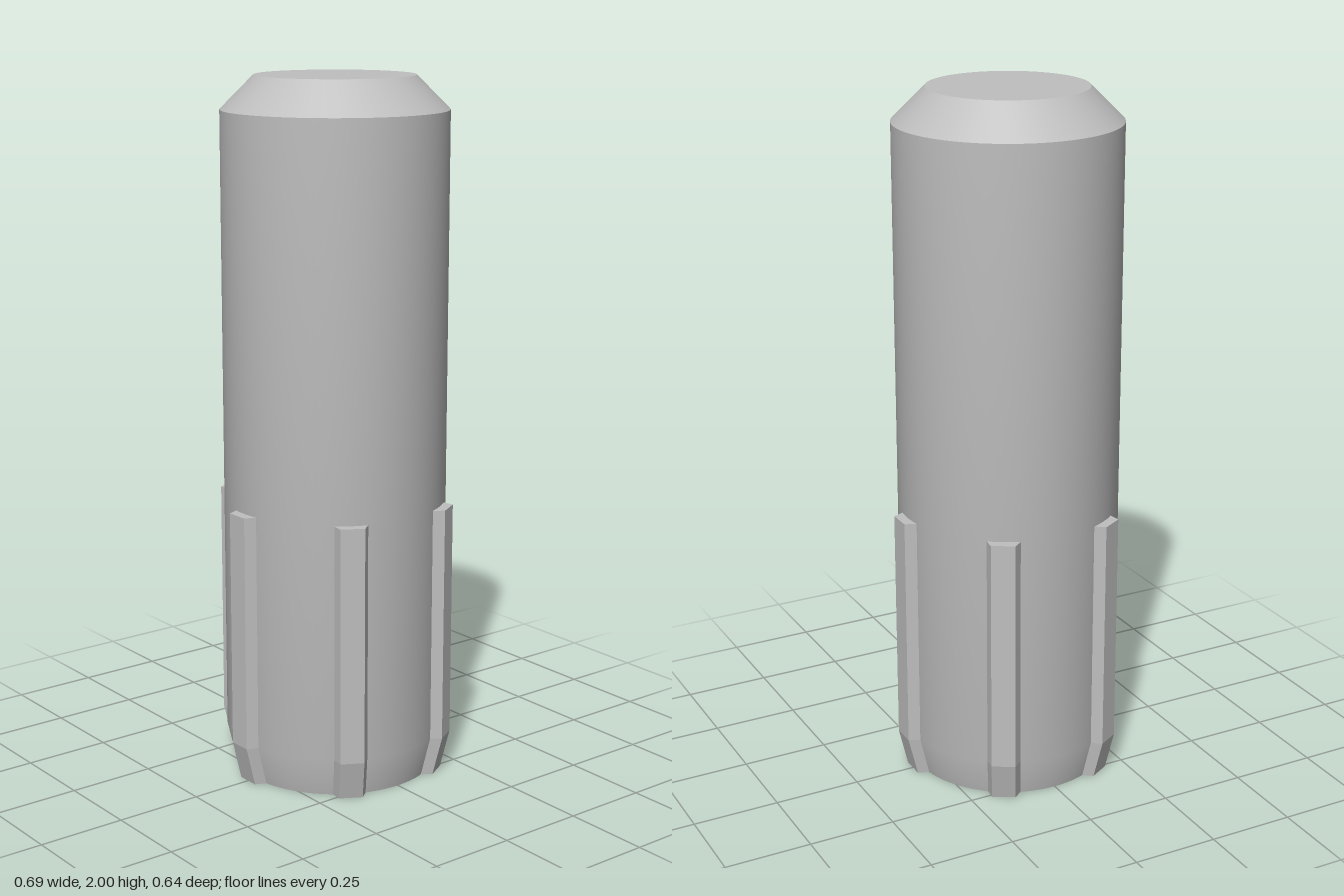
import * as THREE from 'three';
import { toCreasedNormals } from 'three/addons/utils/BufferGeometryUtils.js';

// Trapezoid rib along +x, its lower end leaning inwards
function ribGeometry() {
  const height = 0.8, taperTop = 0.115, lean = 0.028;
  const section = [[0.26, 0.07], [0.347, 0.034], [0.347, -0.034], [0.26, -0.07]];
  const levels = [[0, -lean], [taperTop, 0], [height, 0]];
  const positions = [];
  for (const [y, shift] of levels)
    for (const [x, z] of section) positions.push(x + shift, y, z);

  const index = [];
  for (let l = 0; l < 2; l++) {
    for (let i = 0; i < 4; i++) {
      const a = l * 4 + i, b = l * 4 + (i + 1) % 4;
      index.push(a, b, b + 4, a, b + 4, a + 4);
    }
  }
  index.push(0, 2, 1, 0, 3, 2); // bottom cap
  index.push(8, 9, 10, 8, 10, 11); // top cap

  const geometry = new THREE.BufferGeometry();
  geometry.setAttribute('position', new THREE.Float32BufferAttribute(positions, 3));
  geometry.setIndex(index);
  const flat = geometry.toNonIndexed();
  flat.computeVertexNormals();
  return flat;
}

export function createModel() {
  const group = new THREE.Group();
  const metal = new THREE.MeshStandardMaterial({ color: 0xbfbfbf });
  metal.name = 'grey metal';

  // Round pin with a chamfered top and slightly tapered foot
  const profile = [[0, 0], [0.292, 0], [0.319, 0.115], [0.319, 1.906], [0.225, 2], [0, 2]]
    .map(([r, y]) => new THREE.Vector2(r, y));
  const body = new THREE.Mesh(toCreasedNormals(new THREE.LatheGeometry(profile, 96), 0.3), metal);
  body.name = 'pinBody';
  group.add(body);

  // Six ribs around the lower end
  const ribs = new THREE.Group();
  ribs.name = 'ribs';
  const geometry = ribGeometry();
  for (let i = 0; i < 6; i++) {
    const rib = new THREE.Mesh(geometry, metal);
    rib.name = `rib${i + 1}`;
    rib.rotation.y = i * Math.PI / 3;
    ribs.add(rib);
  }
  group.add(ribs);
  return group;
}
